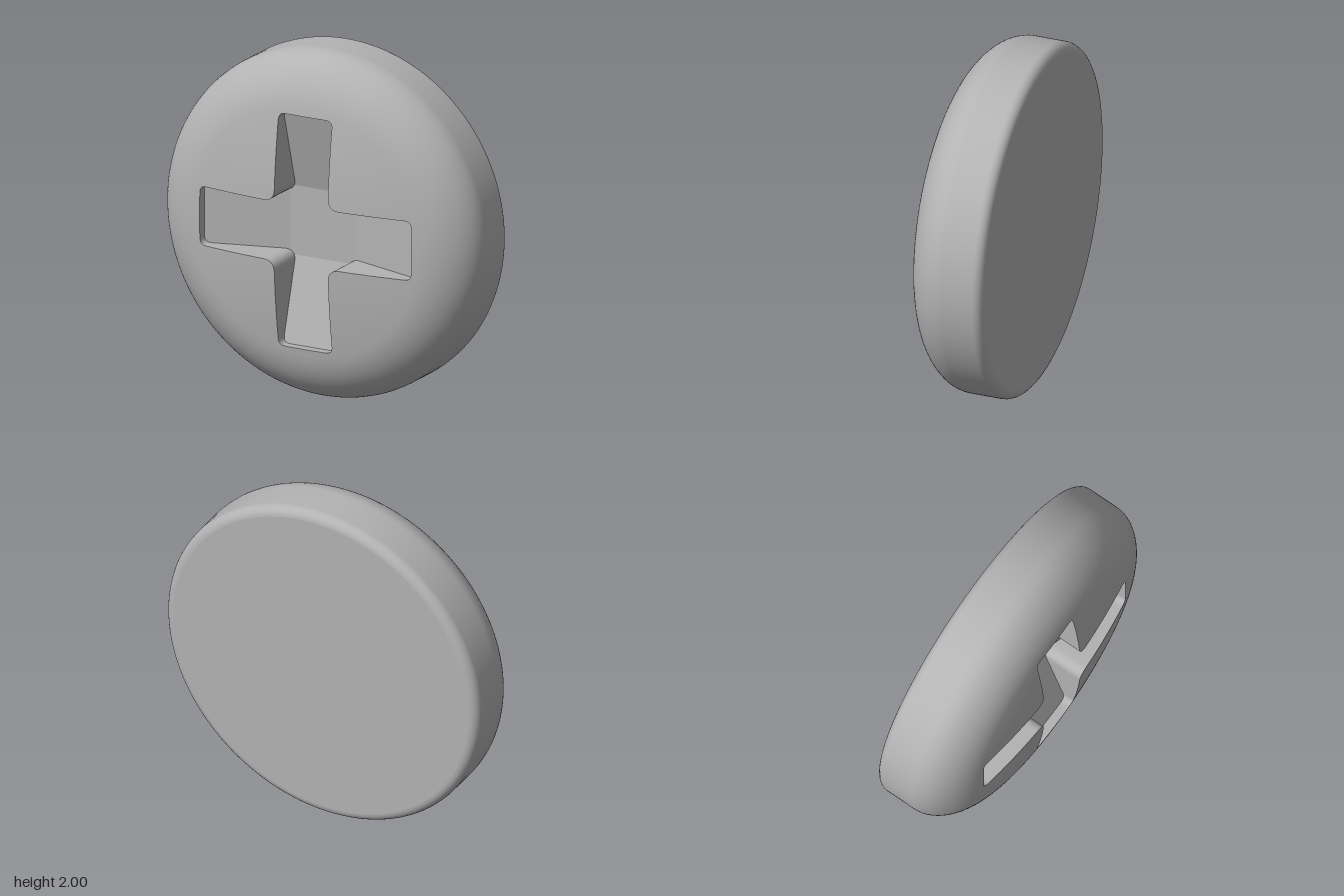
import * as THREE from 'three';
import { toCreasedNormals } from 'three/addons/utils/BufferGeometryUtils.js';

const COUNT = 400;          // points around the head
const BACK = -0.275;
const FLOOR = 0.035;        // deepest level of the recess
const HALF = 0.17, REACH = 0.67, FOOT = 0.2;

const domeZ = (r) => 0.282 - 0.126 * r * r;
const floorZ = (d) => FLOOR + Math.max(0, d - FOOT) * 0.29;

// Rounded cross outline, counter-clockwise
function crossOutline() {
  const shape = new THREE.Shape();
  const tip = 0.04, inner = 0.07;
  for (let q = 0; q < 4; q++) {
    const c = Math.round(Math.cos(q * Math.PI / 2)), s = Math.round(Math.sin(q * Math.PI / 2));
    const at = (x, y) => [c * x - s * y, s * x + c * y];
    if (q === 0) shape.moveTo(...at(REACH, -HALF + tip));
    else shape.lineTo(...at(REACH, -HALF + tip));
    shape.lineTo(...at(REACH, HALF - tip));
    shape.quadraticCurveTo(...at(REACH, HALF), ...at(REACH - tip, HALF));
    shape.lineTo(...at(HALF + inner, HALF));
    shape.quadraticCurveTo(...at(HALF, HALF), ...at(HALF, HALF + inner));
    shape.lineTo(...at(HALF, REACH - tip));
    shape.quadraticCurveTo(...at(HALF, REACH), ...at(HALF - tip, REACH));
  }
  shape.closePath();
  return shape.getSpacedPoints(COUNT).slice(0, COUNT);
}

// Skin joining closed rings of equal point count
function skin(rings) {
  const index = [];
  for (let k = 0; k < rings.length - 1; k++) {
    for (let i = 0; i < COUNT; i++) {
      const a = k * COUNT + i, b = k * COUNT + (i + 1) % COUNT;
      index.push(a, a + COUNT, b + COUNT, a, b + COUNT, b);
    }
  }
  const geometry = new THREE.BufferGeometry().setFromPoints(rings.flat());
  geometry.setIndex(index);
  geometry.computeVertexNormals();
  return geometry;
}

function quad(corners) {
  const geometry = new THREE.BufferGeometry().setFromPoints(corners.map((p) => new THREE.Vector3(...p)));
  geometry.setIndex([0, 1, 2, 0, 2, 3]);
  geometry.computeVertexNormals();
  return geometry;
}

export function createModel() {
  const model = new THREE.Group();
  model.name = 'screwHead';
  const steel = new THREE.MeshStandardMaterial({ color: 0xb3b3b3 });
  steel.name = 'grey steel';
  const head = new THREE.Group();
  head.name = 'head';
  head.position.y = 1;
  model.add(head);
  const add = (name, geometry) => {
    const mesh = new THREE.Mesh(geometry, steel);
    mesh.name = name;
    head.add(mesh);
    return mesh;
  };

  const outline = crossOutline();
  const rings = [];

  // Shallow dome from the recess rim outward
  const domeEdge = 0.72, domeSteps = 10;
  for (let k = 0; k <= domeSteps; k++) {
    rings.push(outline.map((p) => {
      const r = THREE.MathUtils.lerp(p.length(), domeEdge, k / domeSteps);
      const q = p.clone().setLength(r);
      return new THREE.Vector3(q.x, q.y, domeZ(r));
    }));
  }

  // Rounded shoulder, straight side and small back rounding
  const shoulder = new THREE.CubicBezierCurve(
    new THREE.Vector2(domeEdge, domeZ(domeEdge)), new THREE.Vector2(0.87, 0.189),
    new THREE.Vector2(1, 0.08), new THREE.Vector2(1, -0.04));
  const profile = shoulder.getPoints(16).slice(1);
  profile.push(new THREE.Vector2(1, -0.13));
  for (let k = 0; k <= 6; k++) {
    const a = k / 6 * Math.PI / 2;
    profile.push(new THREE.Vector2(0.945 + 0.055 * Math.cos(a), BACK + 0.055 - 0.055 * Math.sin(a)));
  }
  for (const { x: r, y: z } of profile) {
    rings.push(outline.map((p) => {
      const q = p.clone().setLength(r);
      return new THREE.Vector3(q.x, q.y, z);
    }));
  }
  add('domedBody', skin(rings));

  // Flat back
  const back = add('backFace', new THREE.CircleGeometry(0.946, 128));
  back.rotation.y = Math.PI;
  back.position.z = BACK;

  // Recess walls, from the sloped floor up to the dome
  const foot = outline.map((p) => new THREE.Vector3(p.x, p.y, floorZ(Math.max(Math.abs(p.x), Math.abs(p.y)))));
  const rim = outline.map((p) => new THREE.Vector3(p.x, p.y, domeZ(p.length())));
  add('recessWalls', toCreasedNormals(skin([foot, rim]), 0.7));

  // Recess floor: flat centre and four slopes
  const f = FOOT, e = floorZ(REACH);
  add('recessCentre', quad([[-f, -f, FLOOR], [f, -f, FLOOR], [f, f, FLOOR], [-f, f, FLOOR]]));
  const slope = quad([[f, -f, FLOOR], [REACH, -f, e], [REACH, f, e], [f, f, FLOOR]]);
  for (let q = 0; q < 4; q++) add('recessSlope' + (q + 1), slope).rotation.z = q * Math.PI / 2;

  return model;
}
